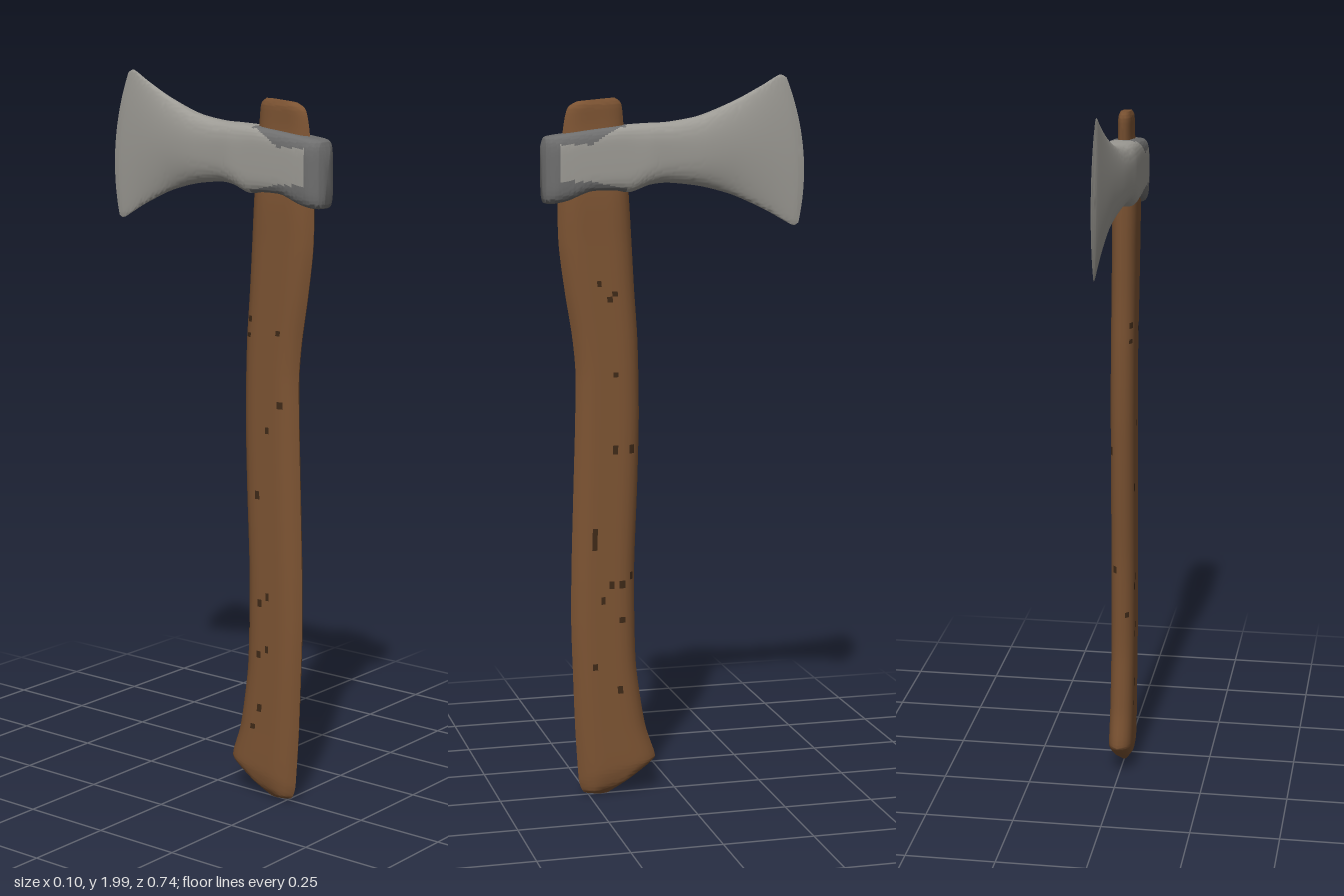
import * as THREE from 'three';
import { toCreasedNormals } from 'three/addons/utils/BufferGeometryUtils.js';

const wood = new THREE.MeshStandardMaterial({ color: 0x7d5433 });
wood.name = 'wood';
const darkGrain = new THREE.MeshStandardMaterial({ color: 0x3f2a18 });
darkGrain.name = 'dark grain';
const steel = new THREE.MeshStandardMaterial({ color: 0x9d9b95 });
steel.name = 'polished steel';
const darkSteel = new THREE.MeshStandardMaterial({ color: 0x6e6e6e });
darkSteel.name = 'dark forged steel';

// Lofts mirrored sections. A station is [zA, yA, zB, yB, halfWidth, shape, bow]:
// the section spans the chord A to B; profile(shape) gives [along chord, width] pairs;
// bow pushes the middle of the chord towards -z. pick(x, y, z, id) chooses the material.
function loft(stations, steps, profile, pick, crease) {
  const curve = (f) => new THREE.CatmullRomCurve3(stations.map(f), false, 'catmullrom', 0.4);
  const edgeA = curve((s) => new THREE.Vector3(s[4], s[1], s[0]));
  const edgeB = curve((s) => new THREE.Vector3(s[5], s[3], s[2]));
  const bows = curve((s) => new THREE.Vector3(s[6], 0, 0));
  const pos = [], lists = [[], []];
  let n = 0;
  for (let i = 0; i <= steps; i++) {
    const a = edgeA.getPoint(i / steps), b = edgeB.getPoint(i / steps);
    const bow = bows.getPoint(i / steps).x, half = profile(b.x);
    const ring = [...half, ...half.slice(1, -1).reverse().map(([s, w]) => [s, -w])];
    n = ring.length;
    for (const [s, w] of ring) {
      pos.push(w * a.x, a.y + (b.y - a.y) * s, a.z + (b.z - a.z) * s - bow * 4 * s * (1 - s));
    }
  }
  const mid = (ids, k) => ids.reduce((sum, q) => sum + pos[q * 3 + k], 0) / ids.length;
  for (let i = 0; i < steps; i++) {
    for (let j = 0; j < n; j++) {
      const p = i * n + j, q = i * n + (j + 1) % n, ids = [p, q, p + n, q + n];
      lists[pick(mid(ids, 0), mid(ids, 1), mid(ids, 2), p)].push(p, q, p + n, q, q + n, p + n);
    }
  }
  // End caps
  for (const row of [0, steps]) {
    const ids = Array.from({ length: n }, (_, j) => row * n + j);
    const c = pos.length / 3, m = [0, 1, 2].map((k) => mid(ids, k));
    pos.push(...m);
    const list = lists[pick(m[0], m[1], m[2], -1)];
    ids.forEach((p, j) => {
      const q = ids[(j + 1) % n];
      list.push(c, row ? p : q, row ? q : p);
    });
  }
  const geo = new THREE.BufferGeometry();
  geo.setAttribute('position', new THREE.Float32BufferAttribute(pos, 3));
  geo.setIndex([...lists[0], ...lists[1]]);
  geo.addGroup(0, lists[0].length, 0);
  geo.addGroup(lists[0].length, lists[1].length, 1);
  return toCreasedNormals(geo, crease);
}

// Flat cheeks with pointed front and back ridges
const handleProfile = () => [
  [0, 0], [0.04, 0.38], [0.1, 0.7], [0.18, 0.92], [0.28, 1], [0.36, 1], [0.44, 1], [0.5, 1],
  [0.56, 1], [0.64, 1], [0.72, 1], [0.82, 0.92], [0.9, 0.7], [0.96, 0.38], [1, 0],
];

// Superellipse: small exponent is a rounded box, 1 is an ellipse
const headProfile = (e) => Array.from({ length: 33 }, (_, k) => {
  const a = (k / 32) * Math.PI, c = Math.cos(a);
  const s = k === 0 || k === 32 ? 0 : Math.sin(a);
  return [0.5 - 0.5 * Math.sign(c) * Math.abs(c) ** e, s ** e];
});

export function createModel() {
  const model = new THREE.Group();
  model.name = 'axe';

  // Curved handle with a flared, slanted foot
  const handleStations = [
    [0.225, 0.005, 0.19, 0.008, 0.006],
    [0.262, 0.012, 0.12, 0.05, 0.022],
    [0.275, 0.04, 0.063, 0.092, 0.03],
    [0.279, 0.08, 0.058, 0.112, 0.033],
    [0.286, 0.2, 0.086, 0.2, 0.033],
    [0.291, 0.35, 0.11, 0.36, 0.033],
    [0.295, 0.5, 0.115, 0.5, 0.033],
    [0.293, 0.66, 0.115, 0.66, 0.033],
    [0.286, 0.88, 0.106, 0.88, 0.033],
    [0.28, 1.06, 0.101, 1.06, 0.033],
    [0.278, 1.2, 0.102, 1.2, 0.033],
    [0.287, 1.3, 0.105, 1.3, 0.033],
    [0.306, 1.42, 0.113, 1.42, 0.033],
    [0.322, 1.55, 0.12, 1.55, 0.033],
    [0.323, 1.69, 0.128, 1.69, 0.033],
    [0.308, 1.85, 0.14, 1.85, 0.018],
    [0.295, 1.91, 0.147, 1.92, 0.017],
    [0.27, 1.928, 0.165, 1.938, 0.012],
  ].map((s) => [...s, 0, 0]);
  // Sparse dark flecks in the grain
  const fleck = (x, y, z, id) => {
    const h = Math.sin(id * 12.9898) * 43758.5453;
    return y > 0.2 && y < 1.45 && z > 0.12 && z < 0.24 && h - Math.floor(h) < 0.025 ? 1 : 0;
  };
  const handle = new THREE.Mesh(
    loft(handleStations, 136, handleProfile, fleck, 0.6), [wood, darkGrain]);
  handle.name = 'handle';
  model.add(handle);

  // Head from the rounded poll to the flared cutting edge
  const headStations = [
    [0.367, 1.815, 0.367, 1.675, 0.018, 0.5, 0],
    [0.358, 1.834, 0.36, 1.659, 0.034, 0.45, 0],
    [0.335, 1.84, 0.335, 1.658, 0.048, 0.42, 0],
    [0.296, 1.845, 0.296, 1.667, 0.05, 0.4, 0],
    [0.24, 1.853, 0.24, 1.688, 0.05, 0.4, 0],
    [0.165, 1.862, 0.18, 1.69, 0.05, 0.42, 0],
    [0.12, 1.867, 0.127, 1.686, 0.05, 0.5, 0],
    [0.07, 1.87, 0.074, 1.704, 0.05, 0.6, 0],
    [0.015, 1.873, 0.02, 1.709, 0.046, 0.7, 0],
    [-0.07, 1.889, -0.074, 1.698, 0.039, 0.85, 0],
    [-0.17, 1.929, -0.165, 1.673, 0.028, 1, 0.006],
    [-0.245, 1.968, -0.26, 1.63, 0.017, 1, 0.016],
    [-0.296, 1.997, -0.335, 1.589, 0.008, 1, 0.026],
    [-0.317, 1.99, -0.354, 1.594, 0.001, 1, 0.031],
  ];
  // Polished blade and cheek panels; the poll and eye rim stay dark
  const finish = (x, y, z) => {
    if (z < 0.14) return 0;
    const spread = THREE.MathUtils.clamp((0.24 - z) / 0.08, 0, 1);
    const onCheek = Math.abs(x) > 0.04 - 0.03 * spread;
    const inPanel = y < 1.815 + 0.045 * spread && y > 1.718 - 0.018 * spread;
    return z < 0.325 && onCheek && inPanel ? 0 : 1;
  };
  const head = new THREE.Mesh(
    loft(headStations, 130, headProfile, finish, 0.8), [steel, darkSteel]);
  head.name = 'axeHead';
  model.add(head);

  return model;
}
